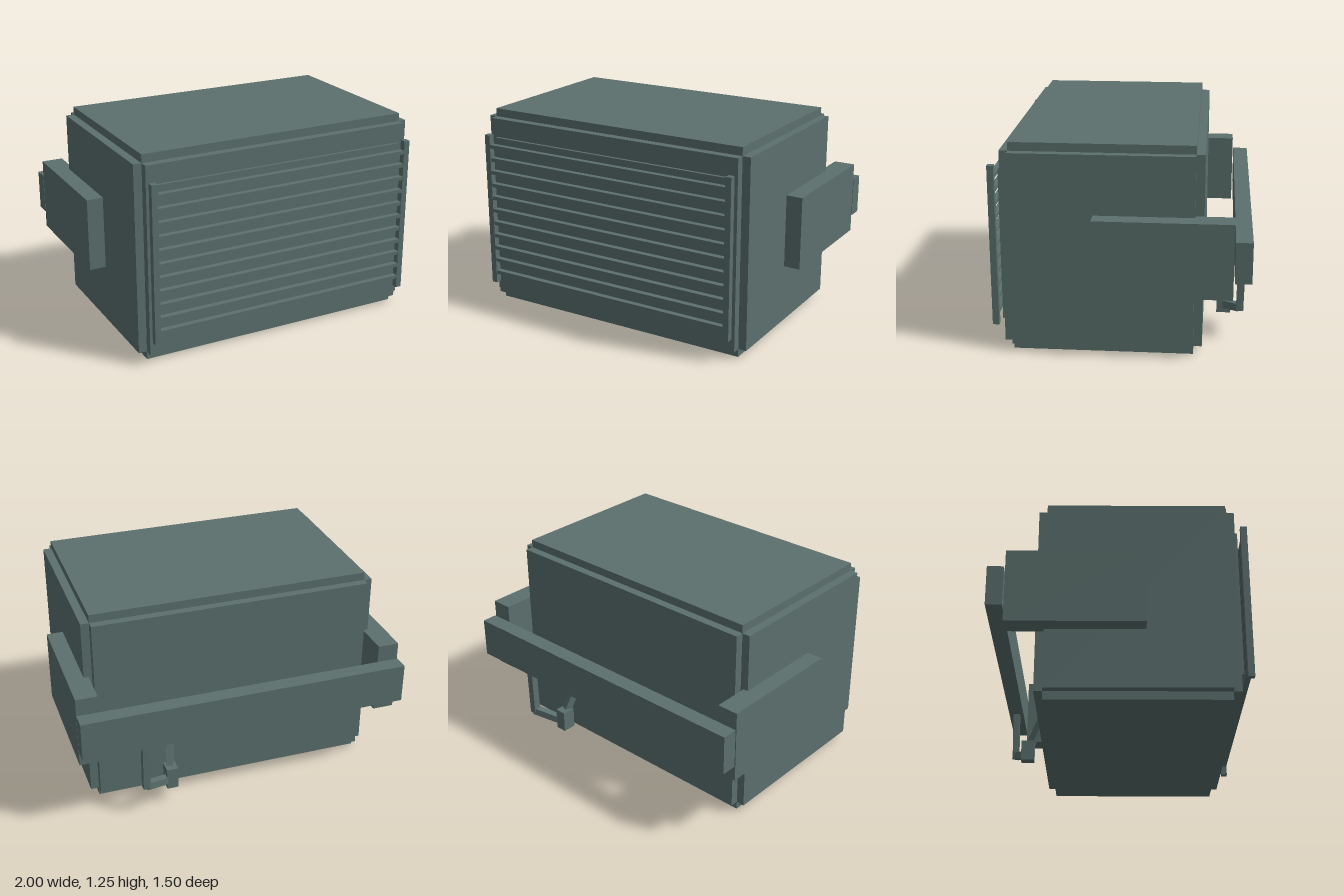
import * as THREE from 'three';

export function createModel() {
  const model = new THREE.Group();
  const material = new THREE.MeshStandardMaterial({ color: 0x5b706e });

  // Box given by its extents on each axis
  const box = (name, [x0, x1], [y0, y1], [z0, z1], parent = model) => {
    const mesh = new THREE.Mesh(new THREE.BoxGeometry(x1 - x0, y1 - y0, z1 - z0), material);
    mesh.position.set((x0 + x1) / 2, (y0 + y1) / 2, (z0 + z1) / 2);
    mesh.name = name;
    parent.add(mesh);
  };

  // Square rod between two points
  const rod = (name, a, b, size, parent) => {
    const from = new THREE.Vector3(...a), to = new THREE.Vector3(...b);
    const mesh = new THREE.Mesh(new THREE.BoxGeometry(size, size, from.distanceTo(to)), material);
    mesh.position.copy(from).lerp(to, 0.5);
    mesh.lookAt(to);
    mesh.name = name;
    parent.add(mesh);
  };

  // Housing: three crossing blocks leave a stepped edge all round
  const housing = new THREE.Group();
  housing.name = 'housing';
  model.add(housing);
  box('housingHeight', [-0.85, 0.85], [0, 1.25], [-0.425, 0.625], housing);
  box('housingWidth', [-0.9, 0.9], [0.05, 1.2], [-0.425, 0.625], housing);
  box('housingDepth', [-0.85, 0.85], [0.05, 1.2], [-0.475, 0.675], housing);

  // Front panel with a louvre grille before it
  box('frontPanel', [-0.81, 0.81], [0.17, 1.085], [0.67, 0.693]);
  const grille = new THREE.Group();
  grille.name = 'grille';
  model.add(grille);
  for (const x of [-0.83, 0.83]) {
    box('grillePost', [x - 0.018, x + 0.018], [0.145, 1.11], [0.71, 0.748], grille);
  }
  for (let i = -5; i <= 5; i++) {
    const y = 0.6275 + i * 0.0823;
    box('grilleSlat', [-0.812, 0.812], [y - 0.0115, y + 0.0115], [0.712, 0.746], grille);
  }

  // Side pads joined by the rear bar
  box('leftPad', [0.87, 1], [0.405, 0.85], [-0.645, 0.148]);
  box('rightPad', [-1, -0.87], [0.405, 0.85], [-0.645, 0.148]);
  box('rearBar', [-1, 1], [0.505, 0.748], [-0.748, -0.652]);

  // Small block hung on a bent arm, with a brace to the housing
  const linkage = new THREE.Group();
  linkage.name = 'linkage';
  model.add(linkage);
  box('linkBlock', [0.405, 0.475], [0.105, 0.24], [-0.64, -0.555], linkage);
  rod('lowerArm', [0.44, 0.15, -0.6], [0.62, 0.205, -0.695], 0.045, linkage);
  rod('upperArm', [0.62, 0.19, -0.692], [0.62, 0.52, -0.698], 0.043, linkage);
  rod('brace', [0.45, 0.18, -0.6], [0.395, 0.48, -0.47], 0.043, linkage);

  return model;
}
